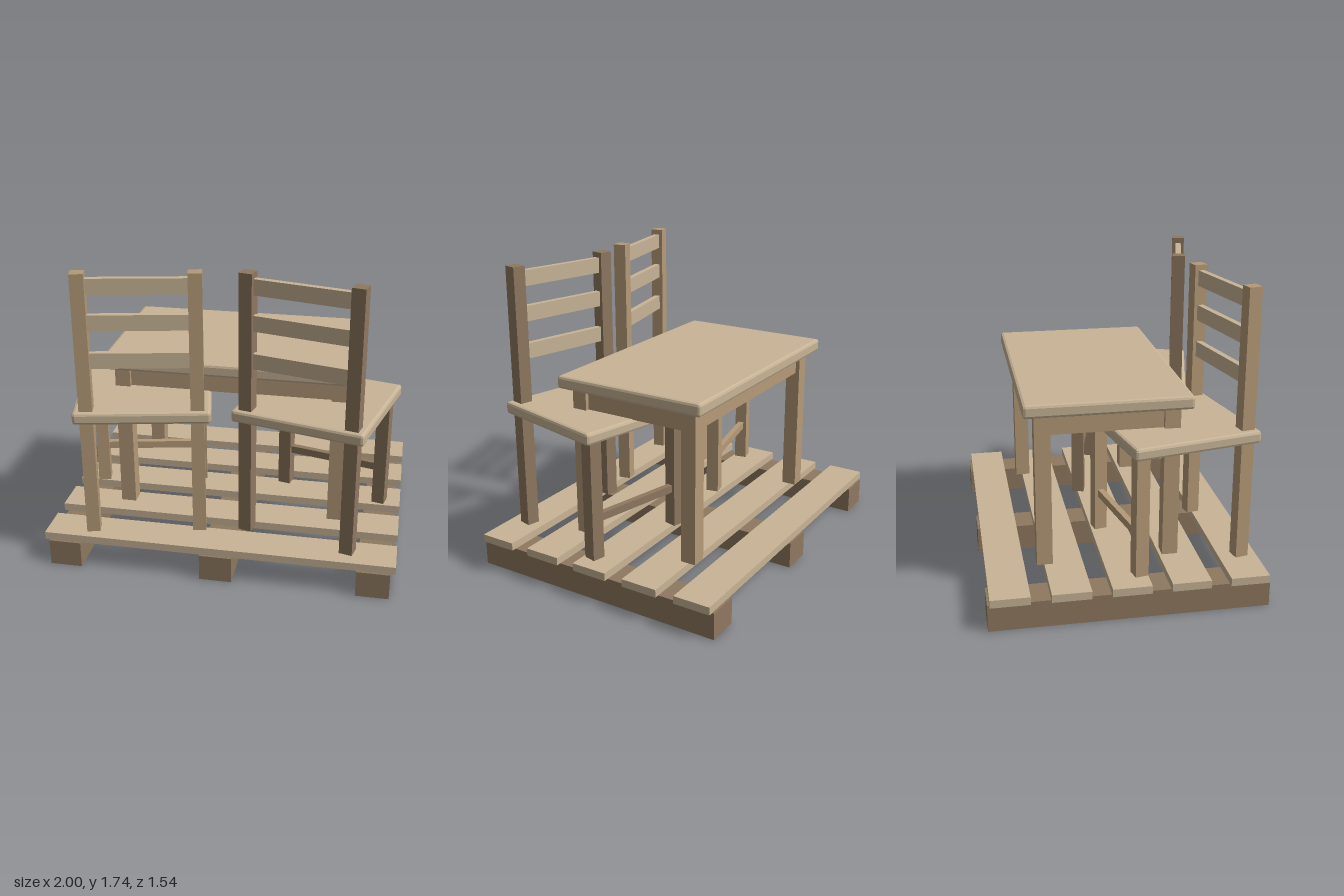
import * as THREE from 'three';
import { RoundedBoxGeometry } from 'three/addons/geometries/RoundedBoxGeometry.js';

const wood = (color) => new THREE.MeshStandardMaterial({ color, flatShading: true });
const light = wood(0xc8b496);
const mid = wood(0xb59a78);
const dark = wood(0x8f7860);

function add(parent, name, geometry, material, x, y, z) {
  const mesh = new THREE.Mesh(geometry, material);
  mesh.name = name;
  mesh.position.set(x, y, z);
  parent.add(mesh);
  return mesh;
}

// Box given by its bottom and top heights
function beam(parent, name, material, w, d, y0, y1, x, z) {
  return add(parent, name, new THREE.BoxGeometry(w, y1 - y0, d), material, x, (y0 + y1) / 2, z);
}

// Board with chamfered edges
function slab(parent, name, w, d, y0, y1, r) {
  return add(parent, name, new RoundedBoxGeometry(w, y1 - y0, d, 1, r), light, 0, (y0 + y1) / 2, 0);
}

function makePallet() {
  const pallet = new THREE.Group();
  pallet.name = 'pallet';
  for (const x of [-0.88, 0, 0.88]) beam(pallet, 'runner', dark, 0.185, 1.54, 0, 0.155, x, 0);
  for (let i = -2; i <= 2; i++) beam(pallet, 'plank', light, 2, 0.215, 0.155, 0.2, 0, i * 0.325);
  return pallet;
}

function makeTable() {
  const table = new THREE.Group();
  table.name = 'table';
  slab(table, 'tableTop', 1.456, 0.92, 1.08, 1.155, 0.016);
  const lx = 0.625, lz = 0.354, s = 0.088;
  for (const side of [-1, 1]) {
    for (const end of [-1, 1]) beam(table, 'tableLeg', mid, s, s, 0.2, 1.08, side * lx, end * lz);
    // Aprons run between the legs
    beam(table, 'longApron', mid, 2 * lx - s, 0.04, 0.957, 1.08, 0, side * lz);
    beam(table, 'shortApron', mid, 0.04, 2 * lz - s, 0.957, 1.08, side * lx, 0);
  }
  table.position.z = -0.075;
  return table;
}

// Chair with its backrest towards local +z
function makeChair(name, frame, x, z, angle) {
  const chair = new THREE.Group();
  chair.name = name;
  const p = 0.305, s = 0.075;
  slab(chair, 'seat', 0.76, 0.735, 0.89, 0.96, 0.016);
  for (const side of [-1, 1]) {
    beam(chair, 'backPost', frame, s, s, 0.2, 1.74, side * p, p);
    beam(chair, 'frontLeg', frame, s, s, 0.2, 0.9, side * p, -p);
  }
  const span = 2 * p - s;
  for (const y of [1.25, 1.465, 1.665]) beam(chair, 'backSlat', light, span, 0.035, y - 0.044, y + 0.044, 0, p);
  beam(chair, 'stretcher', frame, span, 0.035, 0.41, 0.455, 0, -p);
  chair.position.set(x, 0, z);
  chair.rotation.y = THREE.MathUtils.degToRad(angle);
  return chair;
}

export function createModel() {
  const model = new THREE.Group();
  model.name = 'tableAndChairsOnPallet';
  model.add(
    makePallet(),
    makeTable(),
    makeChair('rightChair', mid, -0.495, 0.303, 11.5),
    makeChair('leftChair', dark, 0.505, 0.272, -14),
  );
  return model;
}
